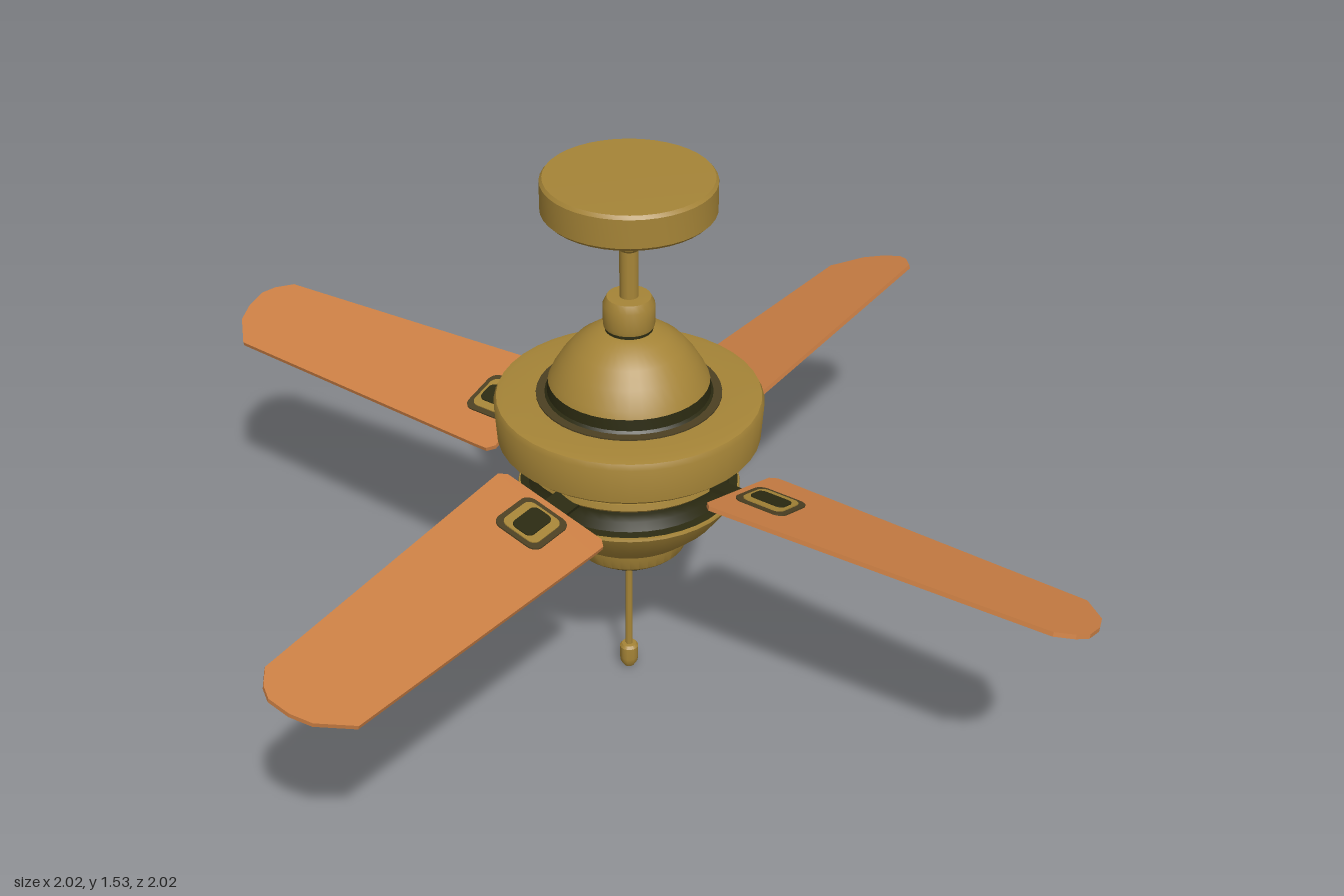
import * as THREE from 'three';
import { toCreasedNormals } from 'three/addons/utils/BufferGeometryUtils.js';

export function createModel() {
  const model = new THREE.Group();
  model.name = 'ceilingFan';

  const mat = (name, color) => {
    const m = new THREE.MeshStandardMaterial({ color });
    m.name = name;
    return m;
  };
  const brass = mat('antique brass', 0xa58437);
  const dark = mat('dark bronze', 0x2b2a11);
  const bronze = mat('aged bronze', 0x4c4022);
  const wood = mat('warm wood', 0xcb7f44);

  // Turned part from [radius, height] pairs, bottom to top
  const turned = (name, material, profile, segments = 40) => {
    const points = profile.map(([r, y]) => new THREE.Vector2(r, y));
    const geo = toCreasedNormals(new THREE.LatheGeometry(points, segments), 0.6);
    const mesh = new THREE.Mesh(geo, material);
    mesh.name = name;
    mesh.position.set(-0.005, 0, 0.002);
    model.add(mesh);
  };

  // Ceiling mount and down rod
  turned('canopy', brass, [[0, 1.408], [0.08, 1.412], [0.215, 1.432], [0.225, 1.442], [0.225, 1.52], [0.218, 1.529], [0, 1.532]]);
  turned('canopyCollar', dark, [[0, 1.375], [0.035, 1.38], [0.055, 1.395], [0.08, 1.405], [0.08, 1.415], [0, 1.415]], 24);
  turned('rodUpperSleeve', brass, [[0.025, 1.325], [0.034, 1.335], [0.034, 1.375], [0.025, 1.385]], 20);
  turned('downRod', brass, [[0.025, 1.18], [0.025, 1.4]], 20);
  turned('rodCoupler', brass, [[0, 1.105], [0.066, 1.105], [0.068, 1.115], [0.068, 1.17], [0.058, 1.19], [0, 1.192]], 24);
  turned('couplerRing', dark, [[0.064, 1.085], [0.062, 1.11]], 24);

  // Motor housing
  turned('motorDome', brass, [[0.213, 0.946], [0.205, 0.965], [0.178, 1.01], [0.145, 1.05], [0.105, 1.08], [0.07, 1.095], [0, 1.097]]);
  turned('domeBand', dark, [[0.226, 0.905], [0.216, 0.915], [0.212, 0.947]]);
  turned('domeBandFlange', bronze, [[0.245, 0.9], [0.245, 0.908], [0.215, 0.909]]);
  turned('motorDrum', brass, [[0, 0.765], [0.27, 0.765], [0.335, 0.772], [0.35, 0.785], [0.357, 0.885], [0.35, 0.9], [0.33, 0.904], [0.24, 0.904], [0, 0.904]]);
  turned('drumUnderside', brass, [[0.26, 0.745], [0.272, 0.75], [0.272, 0.768]]);
  turned('darkGroove', dark, [[0.25, 0.725], [0.255, 0.75]]);
  turned('flywheelUnderside', dark, [[0.235, 0.7], [0.272, 0.703]]);
  turned('flywheelRing', brass, [[0.272, 0.703], [0.282, 0.713], [0.278, 0.73], [0.24, 0.737]]);
  turned('lowerNeck', dark, [[0.292, 0.637], [0.27, 0.64], [0.258, 0.662], [0.25, 0.68], [0.25, 0.702]]);

  // Switch housing and pull chain
  turned('lowerBowl', brass, [[0, 0.485], [0.165, 0.487], [0.19, 0.5], [0.245, 0.55], [0.285, 0.605], [0.298, 0.628], [0.296, 0.634], [0, 0.636]]);
  turned('switchCup', brass, [[0, 0.43], [0.145, 0.43], [0.155, 0.44], [0.162, 0.475], [0.165, 0.49]]);
  turned('switchCap', dark, [[0, 0.4], [0.105, 0.4], [0.11, 0.408], [0.11, 0.432], [0, 0.432]], 28);
  turned('chainGrommet', dark, [[0, 0.376], [0.02, 0.378], [0.02, 0.388], [0.011, 0.402]], 16);
  turned('pullChain', brass, [[0.01, 0.07], [0.01, 0.4]], 10);
  turned('pullFob', brass, [[0, 0], [0.014, 0.004], [0.024, 0.02], [0.026, 0.035], [0.026, 0.07], [0.02, 0.078], [0, 0.08]], 16);

  // Blade and bracket outlines: x runs outward, y across
  const bladeShape = new THREE.Shape([
    [0.342, 0.155], [0.342, -0.155], [0.36, -0.174], [0.4, -0.172], [1.301, -0.118], [1.345, -0.082], [1.366, -0.047],
    [1.364, 0.015], [1.345, 0.071], [1.273, 0.147], [0.4, 0.174], [0.36, 0.174],
  ].map(([x, y]) => new THREE.Vector2(x, y)));

  const roundedRect = (x0, x1, w, r) => {
    const s = new THREE.Shape();
    s.absarc(x1 - r, w - r, r, 0, Math.PI / 2);
    s.absarc(x0 + r, w - r, r, Math.PI / 2, Math.PI);
    s.absarc(x0 + r, r - w, r, Math.PI, Math.PI * 1.5);
    s.absarc(x1 - r, r - w, r, Math.PI * 1.5, Math.PI * 2);
    s.closePath();
    return s;
  };
  const flat = (shape, y0, y1) => new THREE.ExtrudeGeometry(shape, { depth: y1 - y0, bevelEnabled: false, curveSegments: 5 })
    .rotateX(-Math.PI / 2).translate(0, y0, 0);

  // Stacked bracket plates above the blade, a plate and arm below it
  const bladeParts = [
    ['blade', wood, flat(bladeShape, -0.006, 0.006)],
    ['bracketFrame', bronze, flat(roundedRect(0.365, 0.515, 0.072, 0.028), 0.004, 0.01)],
    ['bracketRing', brass, flat(roundedRect(0.38, 0.5, 0.056, 0.022), 0.01, 0.013)],
    ['bracketCentre', dark, flat(roundedRect(0.39, 0.49, 0.032, 0.018), 0.013, 0.016)],
    ['bracketUnderplate', dark, flat(roundedRect(0.36, 0.515, 0.052, 0.02), -0.012, -0.005)],
    ['bracketArm', dark, new THREE.BoxGeometry(0.14, 0.012, 0.07).translate(0.3, -0.007, 0)],
  ];

  // Four pitched blades on the diagonals
  const blades = new THREE.Group();
  blades.name = 'blades';
  blades.position.y = 0.718;
  blades.rotation.z = -0.01;
  for (let i = 0; i < 4; i++) {
    const spoke = new THREE.Group();
    spoke.name = 'bladeAssembly';
    spoke.rotation.y = Math.PI / 4 + i * Math.PI / 2;
    const pitched = new THREE.Group();
    pitched.name = 'pitchedBlade';
    pitched.rotation.x = -0.27;
    for (const [name, material, geo] of bladeParts) {
      const mesh = new THREE.Mesh(geo, material);
      mesh.name = name;
      pitched.add(mesh);
    }
    spoke.add(pitched);
    blades.add(spoke);
  }
  model.add(blades);
  return model;
}
